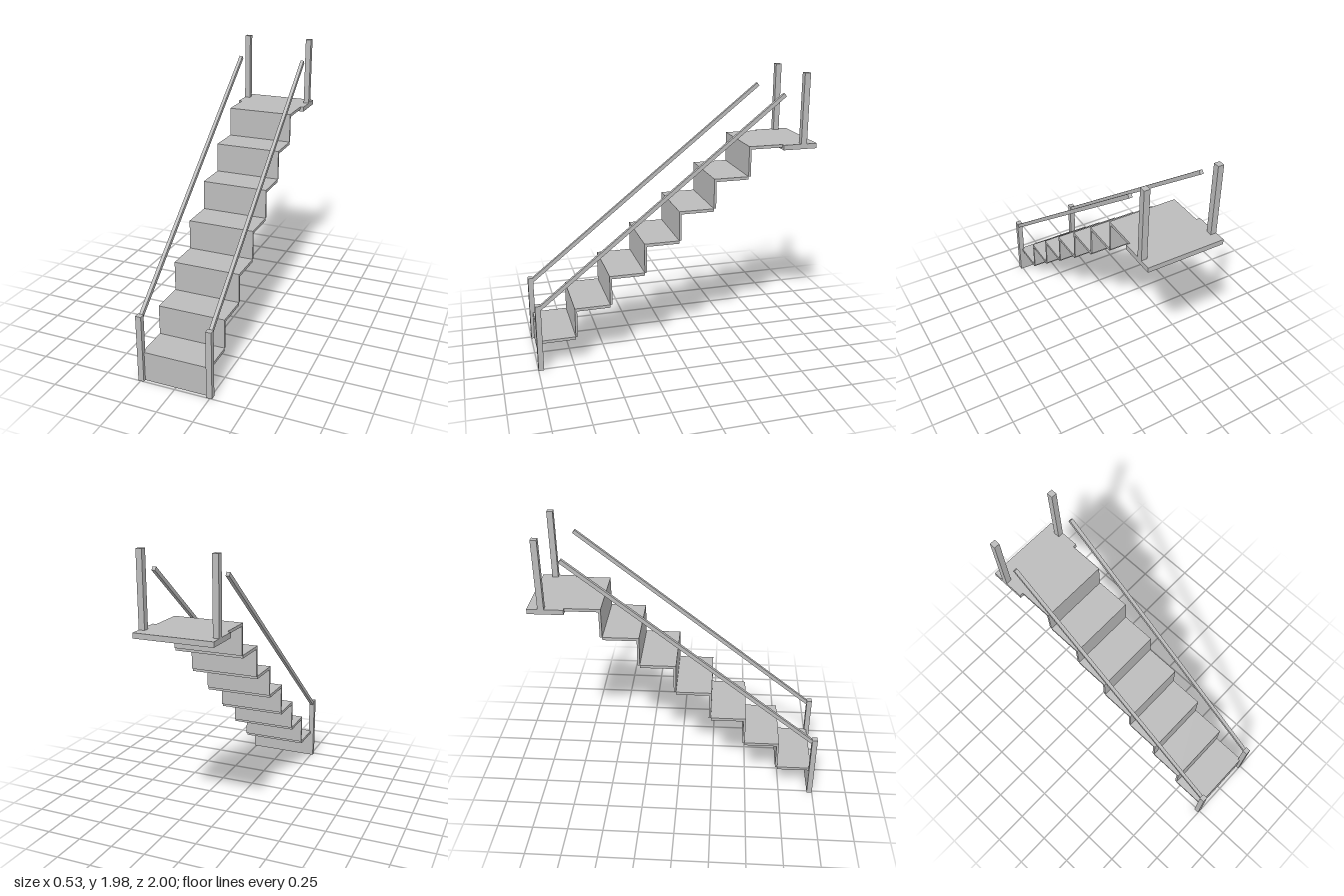
import * as THREE from 'three';

export function createModel() {
  const group = new THREE.Group();
  group.name = 'staircase';
  const grey = new THREE.MeshStandardMaterial({ color: 0xbcbcbc });
  grey.name = 'plain grey';

  // Box given by its limits on each axis
  function block(name, [x0, x1], [y0, y1], [z0, z1]) {
    const mesh = new THREE.Mesh(new THREE.BoxGeometry(x1 - x0, y1 - y0, z1 - z0), grey);
    mesh.position.set((x0 + x1) / 2, (y0 + y1) / 2, (z0 + z1) / 2);
    mesh.name = name;
    group.add(mesh);
    return mesh;
  }

  // Seven folded steps: each riser carries a thin tread
  const steps = 7, rise = 0.2122, run = 0.2483, front = 0.978;
  const thick = 0.021, riserThick = 0.016, half = 0.24;
  for (let i = 0; i < steps; i++) {
    const z = front - i * run, bottom = i * rise, top = bottom + rise;
    block(`riser${i + 1}`, [-half, half], [bottom, top - thick], [z - riserThick, z]);
    block(`tread${i + 1}`, [-half, half], [top - thick, top], [z - run, z]);
  }

  // Landing
  const landingTop = steps * rise;
  block('landing', [-0.266, 0.266], [1.45, landingTop], [-1, -0.755]);

  // Posts and sloping handrails on both sides
  const low = new THREE.Vector3(0, 0.463, 0.966);
  const high = new THREE.Vector3(0, 1.832, -0.753);
  const slope = new THREE.Vector3().subVectors(high, low);
  for (const [side, s] of [['left', 1], ['right', -1]]) {
    const xs = s > 0 ? [0.226, 0.266] : [-0.266, -0.226];
    block(`${side}FrontPost`, xs, [0, 0.485], [0.962, 1]);
    block(`${side}LandingPost`, xs, [landingTop, 1.975], [-0.926, -0.884]);

    const rail = new THREE.Mesh(new THREE.BoxGeometry(0.024, 0.027, slope.length()), grey);
    rail.name = `${side}Handrail`;
    rail.position.addVectors(low, high).multiplyScalar(0.5).setX(s * 0.246);
    rail.rotation.x = Math.atan2(slope.y, -slope.z);
    group.add(rail);
  }
  return group;
}
